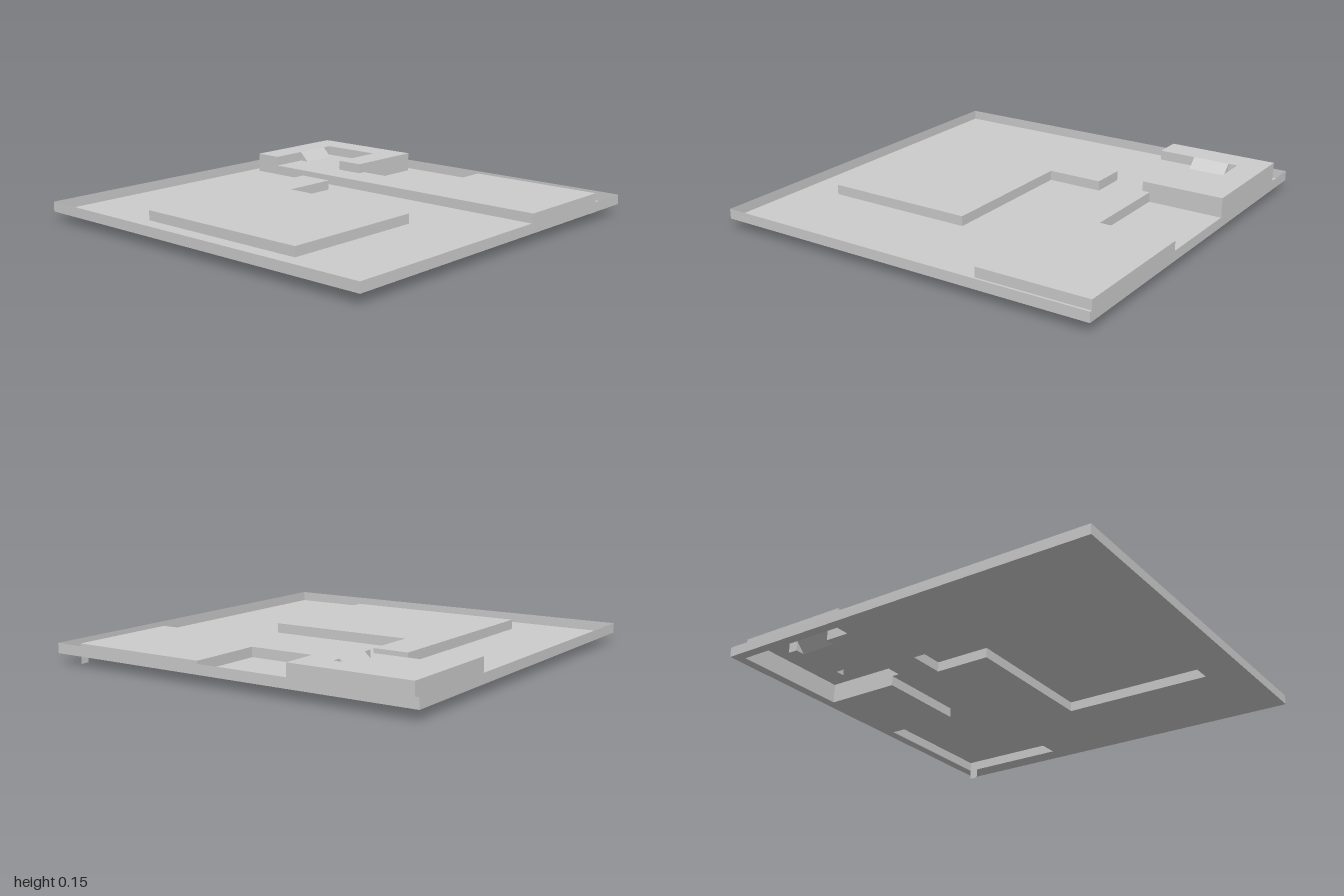
import * as THREE from 'three';

const shellGrey = new THREE.MeshStandardMaterial({ color: 0xcccccc, side: THREE.DoubleSide });
shellGrey.name = 'shell grey';

// Outlines as [x, z] corners
const rim = [[-1, -1], [1, -1], [1, 1], [-1, 1]];
const lowPad = [[-0.51, -0.27], [-0.32, -0.27], [-0.32, 0.02], [0.46, 0.02], [0.46, 0.8], [-0.51, 0.8]];
const longPad = [[-0.95, -0.95], [-0.32, -0.95], [-0.32, -0.56], [0.17, -0.56],
  [0.17, -0.95], [0.9, -0.95], [0.9, -0.37], [-0.95, -0.37]];
const hook = [[-0.95, -0.95], [-0.32, -0.95], [-0.32, -0.52], [-0.465, -0.52],
  [-0.465, -0.81], [-0.805, -0.81], [-0.805, -0.37], [-0.95, -0.37]];
// Long pad surface outside the hook, notched where the two ramps rise
const longPadTop = [[-0.805, -0.37], [-0.805, -0.565], [-0.755, -0.565], [-0.755, -0.76], [-0.805, -0.76],
  [-0.805, -0.81], [-0.465, -0.81], [-0.465, -0.76], [-0.515, -0.76], [-0.515, -0.565], [-0.465, -0.565],
  [-0.465, -0.52], [-0.32, -0.52], [-0.32, -0.56], [0.17, -0.56], [0.17, -0.95], [0.9, -0.95], [0.9, -0.37]];
// Hook walls, open behind the ramps
const hookOuter = [[-0.805, -0.565], [-0.805, -0.37], [-0.95, -0.37], [-0.95, -0.95],
  [-0.32, -0.95], [-0.32, -0.52], [-0.465, -0.52], [-0.465, -0.565]];
const hookInner = [[-0.465, -0.76], [-0.465, -0.81], [-0.805, -0.81], [-0.805, -0.76]];

function addMesh(group, geometry, name) {
  const mesh = new THREE.Mesh(geometry, shellGrey);
  mesh.name = name;
  group.add(mesh);
}

// Flat horizontal sheet with optional openings
function sheet(outline, y, holes = []) {
  const toPoints = (list) => list.map(([x, z]) => new THREE.Vector2(x, -z));
  const shape = new THREE.Shape(toPoints(outline));
  holes.forEach((h) => shape.holes.push(new THREE.Path(toPoints(h))));
  return new THREE.ShapeGeometry(shape).rotateX(-Math.PI / 2).translate(0, y, 0);
}

function fromTriangles(positions) {
  const geometry = new THREE.BufferGeometry();
  geometry.setAttribute('position', new THREE.Float32BufferAttribute(positions, 3));
  geometry.computeVertexNormals();
  return geometry;
}

// Vertical thin wall following a path
function wall(path, y0, y1, closed = true) {
  const positions = [];
  const count = closed ? path.length : path.length - 1;
  for (let i = 0; i < count; i++) {
    const [ax, az] = path[i];
    const [bx, bz] = path[(i + 1) % path.length];
    positions.push(ax, y0, az, ax, y1, az, bx, y1, bz, ax, y0, az, bx, y1, bz, bx, y0, bz);
  }
  return fromTriangles(positions);
}

// Sloping catch between a high edge and a low edge, with triangular ends
function ramp(xHigh, xLow, z0, z1) {
  const t0 = [xHigh, 0.15, z0], t1 = [xHigh, 0.15, z1];
  const b0 = [xLow, 0.1, z0], b1 = [xLow, 0.1, z1];
  const c0 = [xHigh, 0.1, z0], c1 = [xHigh, 0.1, z1];
  const faces = [t0, t1, b1, t0, b1, b0, t0, b0, c0, t1, c1, b1];
  // Right-hand ramp is mirrored, so reverse its corners
  if (xLow < xHigh) faces.reverse();
  return fromTriangles(faces.flat());
}

export function createModel() {
  const model = new THREE.Group();
  model.name = 'formedPanel';

  // Base tray
  addMesh(model, sheet(rim, 0.05, [lowPad, longPad]), 'trayFloor');
  addMesh(model, wall(rim, 0.05, 0.1), 'trayRim');

  // Raised pads, hollow underneath
  addMesh(model, sheet(lowPad, 0.1), 'frontPadTop');
  addMesh(model, wall(lowPad, 0.05, 0.1), 'frontPadWalls');
  addMesh(model, sheet(longPadTop, 0.1), 'rearPadTop');
  addMesh(model, wall(longPad, 0.05, 0.1), 'rearPadWalls');

  // Hook-shaped second step
  addMesh(model, sheet(hook, 0.15), 'hookTop');
  addMesh(model, wall(hookOuter, 0.1, 0.15, false), 'hookOuterWalls');
  addMesh(model, wall(hookInner, 0.1, 0.15, false), 'hookInnerWalls');

  // Facing ramps inside the hook
  addMesh(model, ramp(-0.805, -0.755, -0.76, -0.565), 'rightRamp');
  addMesh(model, ramp(-0.465, -0.515, -0.76, -0.565), 'leftRamp');

  // Small tab under the rear corner
  addMesh(model, wall([[0.9, -0.95], [0.9, -0.905]], 0, 0.05, false), 'cornerTab');

  return model;
}
